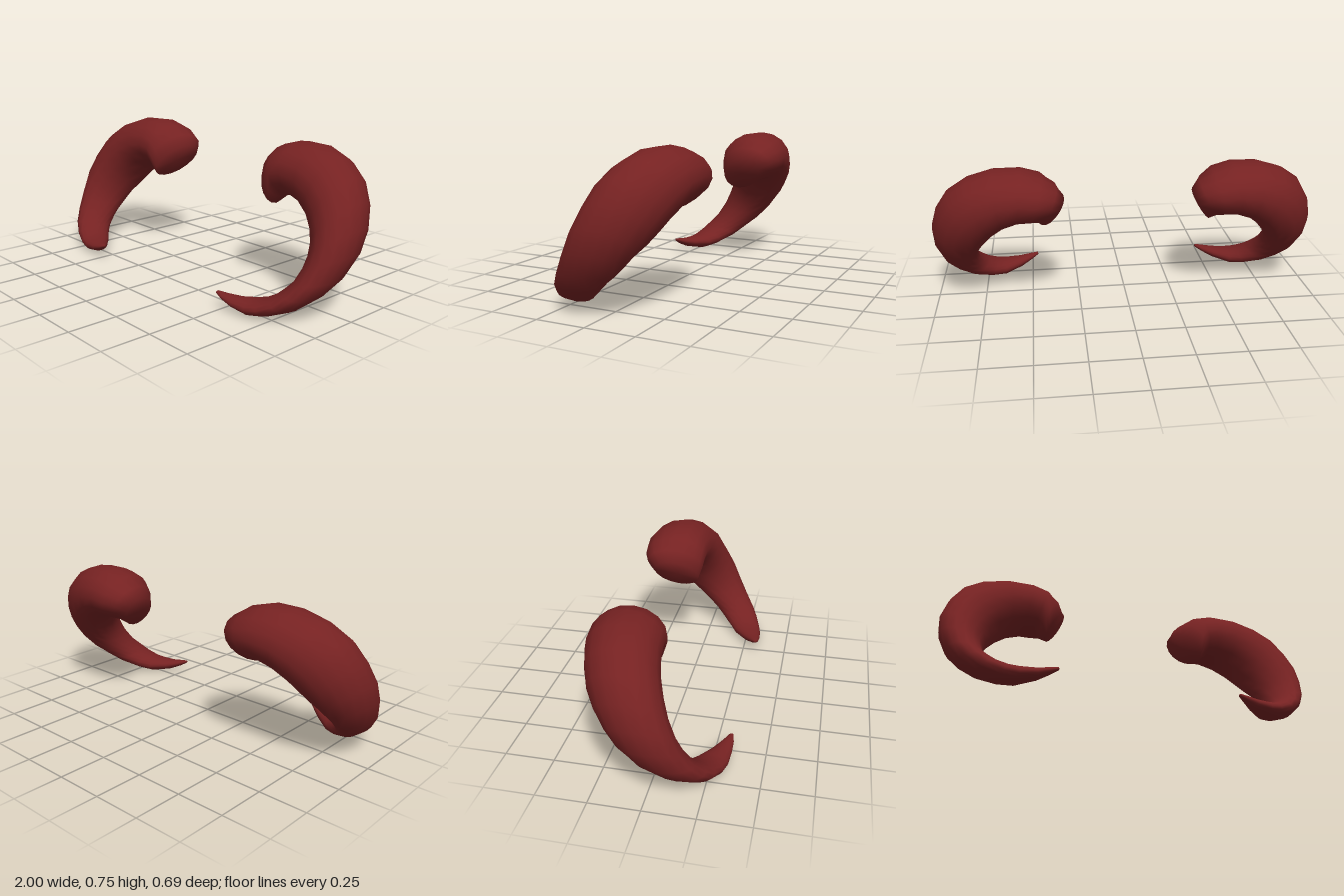
import * as THREE from 'three';

const SIDES = 16;

// Horn cross-sections from base to tip:
// outer edge x, y, inner edge x, y, centre z, half depth in z,
// then (near the base only) the x and y lean of the front side
const SECTIONS = [
  [0.335, 0.605, 0.435, 0.435, -0.14, 0.12, 0.04, -0.03],
  [0.365, 0.668, 0.468, 0.465, -0.155, 0.155, 0.03, -0.015],
  [0.43, 0.717, 0.505, 0.475, -0.165, 0.173, 0.012, 0],
  [0.53, 0.745, 0.56, 0.473, -0.167, 0.178],
  [0.67, 0.742, 0.63, 0.445, -0.158, 0.178],
  [0.80, 0.70, 0.69, 0.395, -0.135, 0.175],
  [0.90, 0.63, 0.73, 0.345, -0.106, 0.174],
  [0.965, 0.53, 0.757, 0.30, -0.07, 0.168],
  [1.0, 0.42, 0.775, 0.26, -0.025, 0.16],
  [1.0, 0.31, 0.78, 0.222, 0.02, 0.15],
  [0.967, 0.20, 0.777, 0.175, 0.08, 0.137],
  [0.91, 0.118, 0.758, 0.14, 0.138, 0.125],
  [0.83, 0.052, 0.735, 0.112, 0.185, 0.11],
  [0.73, 0.012, 0.69, 0.087, 0.228, 0.093],
  [0.65, 0.0, 0.645, 0.077, 0.256, 0.079],
  [0.56, 0.02, 0.575, 0.072, 0.29, 0.05],
  [0.505, 0.045, 0.515, 0.077, 0.312, 0.028],
  [0.467, 0.068, 0.471, 0.082, 0.323, 0.01],
];

// Lofts elliptical rings along the curl; side is +1 (left) or -1 (right)
function hornGeometry(side) {
  const pos = [];
  const index = [];
  const tri = (a, b, c) => (side > 0 ? index.push(a, b, c) : index.push(a, c, b));

  for (const [ox, oy, ix, iy, z, rz, leanX = 0, leanY = 0] of SECTIONS) {
    for (let j = 0; j < SIDES; j++) {
      const a = (j / SIDES) * Math.PI * 2;
      const t = (1 + Math.cos(a)) / 2;
      const s = Math.sin(a);
      pos.push(side * (ix + (ox - ix) * t + leanX * s), iy + (oy - iy) * t + leanY * s, z + rz * s);
    }
  }

  // Skin between neighbouring rings
  const last = SECTIONS.length - 1;
  for (let i = 0; i < last; i++) {
    for (let j = 0; j < SIDES; j++) {
      const a = i * SIDES + j, b = i * SIDES + ((j + 1) % SIDES);
      tri(a, b, a + SIDES);
      tri(b, b + SIDES, a + SIDES);
    }
  }

  // Close the base and the tip with fans
  for (const i of [0, last]) {
    const [ox, oy, ix, iy, z] = SECTIONS[i];
    const centre = pos.length / 3;
    pos.push((side * (ox + ix)) / 2, (oy + iy) / 2, z);
    for (let j = 0; j < SIDES; j++) {
      const a = i * SIDES + j, b = i * SIDES + ((j + 1) % SIDES);
      if (i === 0) tri(centre, b, a);
      else tri(centre, a, b);
    }
  }

  const geometry = new THREE.BufferGeometry();
  geometry.setAttribute('position', new THREE.Float32BufferAttribute(pos, 3));
  geometry.setIndex(index);
  geometry.computeVertexNormals();
  return geometry;
}

export function createModel() {
  const group = new THREE.Group();
  group.name = 'curledHorns';
  const material = new THREE.MeshStandardMaterial({ color: 0x762222 });
  material.name = 'darkRed';

  for (const [name, side] of [['leftHorn', 1], ['rightHorn', -1]]) {
    const horn = new THREE.Mesh(hornGeometry(side), material);
    horn.name = name;
    group.add(horn);
  }
  return group;
}
